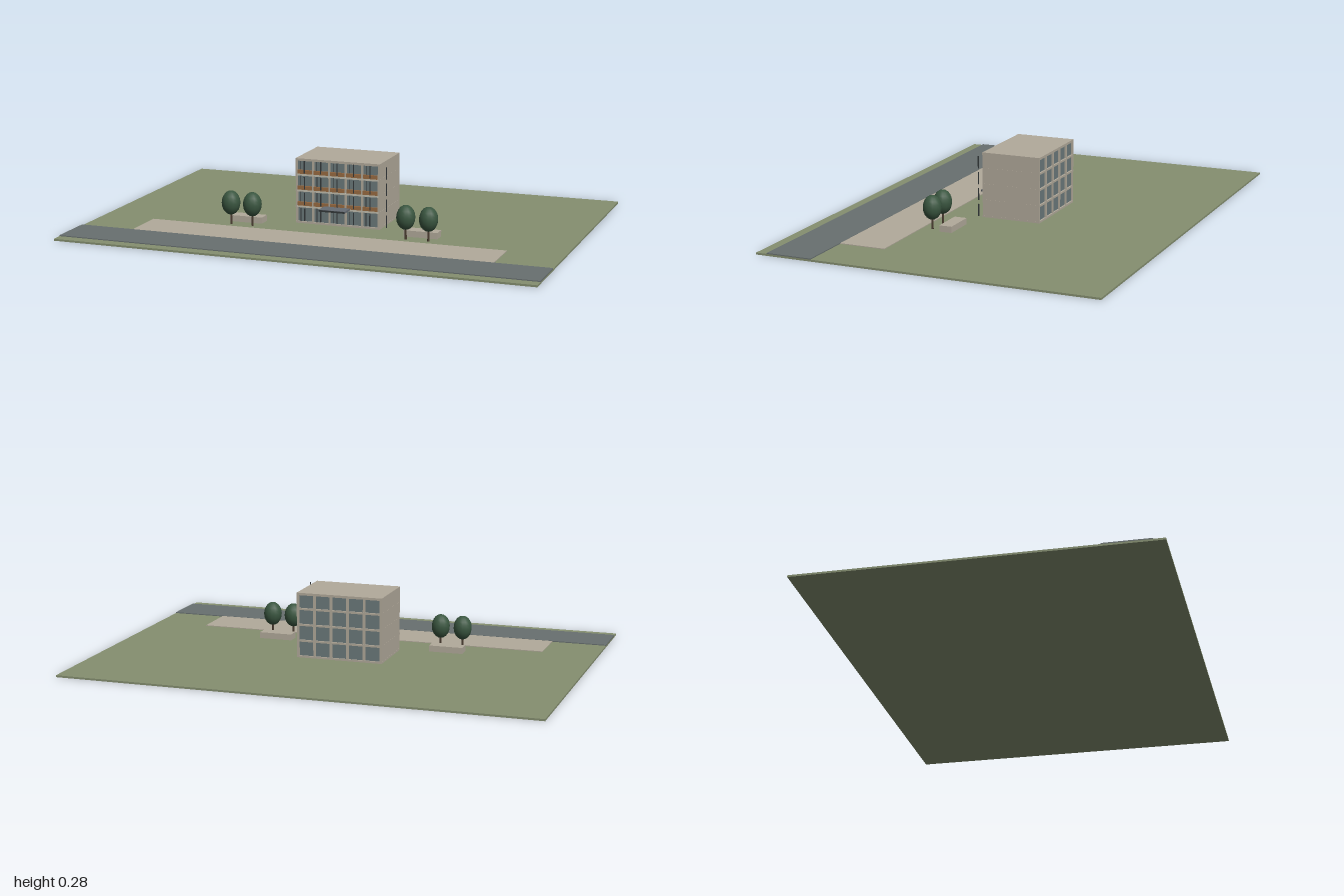
import * as THREE from 'three';

const mat = (name, color, side = THREE.FrontSide) => {
  const m = new THREE.MeshStandardMaterial({ color, side });
  m.name = name;
  return m;
};

export function createModel() {
  const model = new THREE.Group();
  model.name = 'officeSite';

  const grass = mat('grass', 0x858f70);
  const concrete = mat('concrete', 0xb2aa9b);
  const asphalt = mat('asphalt', 0x687070);
  const glass = mat('glass', 0x6c7a7c);
  const wood = mat('wood', 0x9a6b42);
  const trim = mat('paleTrim', 0xc4bfb0);
  const metal = mat('darkMetal', 0x33383a);
  const canopyGrey = mat('canopyGrey', 0x666c74);
  const leaf = mat('foliage', 0x3a5640);
  const bark = mat('bark', 0x4a3c30);

  // Box given by its extents on each axis
  const box = (parent, name, m, x0, x1, y0, y1, z0, z1) => {
    const mesh = new THREE.Mesh(new THREE.BoxGeometry(x1 - x0, y1 - y0, z1 - z0), m);
    mesh.position.set((x0 + x1) / 2, (y0 + y1) / 2, (z0 + z1) / 2);
    mesh.name = name;
    parent.add(mesh);
    return mesh;
  };

  // Ground, road and forecourt
  box(model, 'ground', grass, -1, 1, 0, 0.008, -0.715, 0.715);
  box(model, 'road', asphalt, -1, 1, 0.007, 0.012, 0.475, 0.668);
  box(model, 'forecourt', concrete, -0.767, 0.767, 0.007, 0.011, 0.28, 0.475);

  // Building core, side walls and roof
  const building = new THREE.Group();
  building.name = 'building';
  model.add(building);
  const W = 0.185, ZF = 0.126, ZB = -0.129, Y0 = 0.008, TOP = 0.283;
  const floors = 4, bays = 5;
  const floorH = (TOP - 0.005 - Y0) / floors, bayW = (2 * W - 0.01) / bays;
  box(building, 'glassCore', glass, -W + 0.006, W - 0.006, Y0, TOP - 0.006, ZB + 0.007, ZF - 0.007);
  for (const s of [-1, 1]) {
    const x = s * (W - 0.0045);
    box(building, 'sideWall', concrete, x - 0.004, x + 0.004, Y0, TOP - 0.004, ZB + 0.001, ZF - 0.001);
  }
  box(building, 'roof', concrete, -W, W, TOP - 0.01, TOP, ZB, ZF);

  // Floor slabs
  for (let f = 0; f < floors; f++) {
    const y = Y0 + f * floorH;
    box(building, 'floorSlab', concrete, -W, W, y, y + 0.008, ZB, ZF);
    if (f > 0) box(building, 'slabEdge', trim, -W + 0.006, W - 0.006, y, y + 0.008, ZF - 0.001, ZF + 0.001);
  }

  // Columns on the front and back
  for (let i = 0; i <= bays; i++) {
    const x = -W + 0.005 + i * bayW;
    box(building, 'frontColumn', concrete, x - 0.004, x + 0.004, Y0, TOP - 0.004, ZF - 0.009, ZF - 0.0005);
    box(building, 'backColumn', concrete, x - 0.005, x + 0.005, Y0, TOP - 0.004, ZB + 0.0005, ZB + 0.009);
  }

  // Wood spandrels and dark window fins in each bay
  for (let f = 0; f < floors; f++) {
    const y = Y0 + f * floorH;
    for (let i = 0; i < bays; i++) {
      const x = -W + 0.005 + (i + 0.5) * bayW;
      if (f > 0) box(building, 'woodSpandrel', wood, x - 0.032, x + 0.032, y + 0.008, y + 0.024, ZF - 0.006, ZF + 0.002);
      box(building, 'windowFin', metal, x - 0.002, x + 0.002, y + 0.012, y + floorH - 0.004, ZF + 0.001, ZF + 0.006);
      box(building, 'windowMullion', metal, x - 0.021, x - 0.019, y + 0.008, y + floorH, ZF - 0.008, ZF - 0.004);
    }
    // Free-standing fin beside the facade
    box(building, 'outerFin', metal, 0.2145, 0.2165, y + 0.012, y + floorH - 0.004, ZF + 0.001, ZF + 0.006);
  }

  // Entrance canopy
  box(building, 'canopy', canopyGrey, -0.058, 0.056, 0.08, 0.088, ZF - 0.002, 0.19);
  box(building, 'canopyEdge', metal, -0.058, 0.056, 0.08, 0.087, 0.19, 0.192);

  // Planters and trees on both sides
  const crownGeo = new THREE.SphereGeometry(1, 14, 10);
  const trunkGeo = new THREE.CylinderGeometry(0.004, 0.005, 0.056, 8);
  for (const s of [-1, 1]) {
    const side = new THREE.Group();
    side.name = s < 0 ? 'rightGarden' : 'leftGarden';
    model.add(side);
    const cx = s * 0.382;
    box(side, 'planter', concrete, cx - 0.072, cx + 0.072, 0.007, 0.034, 0.14, 0.194);
    for (const d of [-0.048, 0.048]) {
      const trunk = new THREE.Mesh(trunkGeo, bark);
      trunk.name = 'treeTrunk';
      trunk.position.set(cx + d, 0.035, 0.236);
      const crown = new THREE.Mesh(crownGeo, leaf);
      crown.name = 'treeCrown';
      crown.scale.set(0.039, 0.051, 0.039);
      crown.position.set(cx + d, 0.099, 0.236);
      side.add(trunk, crown);
    }
  }
  return model;
}
